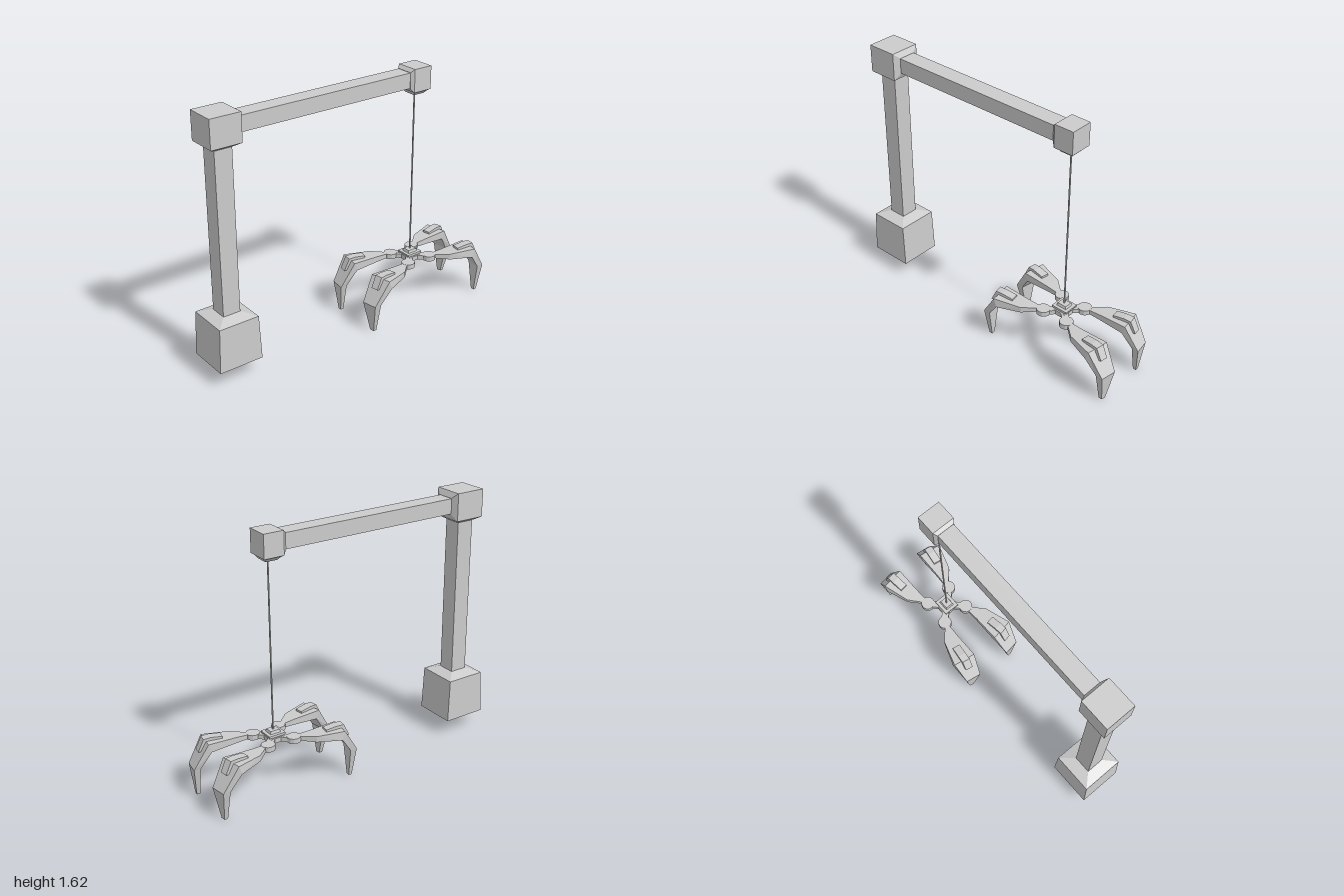
import * as THREE from 'three';

const grey = new THREE.MeshStandardMaterial({ color: 0xcccccc, flatShading: true });

function addMesh(parent, name, geometry, x = 0, y = 0, z = 0) {
  const mesh = new THREE.Mesh(geometry, grey);
  mesh.name = name;
  mesh.position.set(x, y, z);
  parent.add(mesh);
  return mesh;
}

// Closed faceted solid through four-cornered rings; flip reverses the winding
function loft(rings, flip = false) {
  const pos = [];
  const quad = (a, b, c, d) => {
    for (const p of flip ? [a, c, b, a, d, c] : [a, b, c, a, c, d]) pos.push(...p);
  };
  for (let r = 0; r < rings.length - 1; r++) {
    const a = rings[r], b = rings[r + 1];
    for (let i = 0; i < 4; i++) {
      const j = (i + 1) % 4;
      quad(a[i], a[j], b[j], b[i]);
    }
  }
  const s = rings[0], e = rings[rings.length - 1];
  quad(s[3], s[2], s[1], s[0]);
  quad(e[0], e[1], e[2], e[3]);
  const g = new THREE.BufferGeometry();
  g.setAttribute('position', new THREE.Float32BufferAttribute(pos, 3));
  g.computeVertexNormals();
  return g;
}

// Sections [y, halfX, halfZ] stacked upward
const stack = (sections) => loft(sections.map(([y, w, d]) =>
  [[w, y, d], [w, y, -d], [-w, y, -d], [-w, y, d]]));

// Sections [x, yLow, yHigh, halfZ] running along +x
const run = (sections) => loft(sections.map(([x, lo, hi, d]) =>
  [[x, lo, d], [x, lo, -d], [x, hi, -d], [x, hi, d]]));

// Sections [topX, topY, bottomX, bottomY, zInner, zOuter], mirrored by sx and sz
function limb(sections, sx, sz) {
  const rings = sections.map(([tx, ty, bx, by, zi, zo]) => {
    const skew = 0.08 * (zo - zi); // ends turn slightly outward
    return [[bx - skew, by, zo], [bx + skew, by, zi], [tx + skew, ty, zi], [tx - skew, ty, zo]]
      .map(([x, y, z]) => [x * sx, y, z * sz]);
  });
  return loft(rings, sx * sz < 0);
}

function buildClaw() {
  const claw = new THREE.Group();
  claw.name = 'claw';

  // Central hub and stepped cable mount
  addMesh(claw, 'hubCore', new THREE.BoxGeometry(0.1, 0.03, 0.11), 0, 0.32, 0);
  addMesh(claw, 'hubCollar', stack([[0.335, 0.04, 0.045], [0.345, 0.055, 0.05], [0.355, 0.055, 0.05]]));
  addMesh(claw, 'cableMount', stack([[0.355, 0.035, 0.03], [0.372, 0.03, 0.025]]));

  const leg = [
    [0.115, 0.334, 0.115, 0.307, 0.08, 0.108],
    [0.2, 0.338, 0.2, 0.3, 0.085, 0.178],
    [0.372, 0.345, 0.353, 0.29, 0.087, 0.23],
    [0.465, 0.19, 0.42, 0.19, 0.113, 0.213],
    [0.444, 0, 0.422, 0, 0.153, 0.18],
  ];
  const pad = [
    [0.27, 0.354, 0.27, 0.32, 0.118, 0.168],
    [0.342, 0.364, 0.33, 0.32, 0.127, 0.178],
    [0.388, 0.362, 0.36, 0.32, 0.132, 0.182],
    [0.424, 0.287, 0.39, 0.28, 0.137, 0.184],
  ];
  for (const sx of [-1, 1]) {
    for (const sz of [-1, 1]) {
      // Diagonal strut, pivot disc, bent leg and knee pad
      const strut = addMesh(claw, 'strut', new THREE.BoxGeometry(0.13, 0.028, 0.045), sx * 0.045, 0.32, sz * 0.048);
      strut.rotation.y = -sx * sz * 0.82;
      addMesh(claw, 'pivot', new THREE.CylinderGeometry(0.043, 0.043, 0.032, 12), sx * 0.088, 0.32, sz * 0.088);
      addMesh(claw, 'leg', limb(leg, sx, sz));
      addMesh(claw, 'kneePad', limb(pad, sx, sz));
    }
  }
  return claw;
}

export function createModel() {
  const model = new THREE.Group();
  model.name = 'clawCrane';
  const postX = -0.858, cableX = 0.524;

  // Pedestal and post
  addMesh(model, 'base', stack([
    [0.105, 0.142, 0.137], [0.385, 0.13, 0.133], [0.41, 0.058, 0.058]]), postX);
  addMesh(model, 'post', new THREE.BoxGeometry(0.112, 1.04, 0.112), postX, 0.92, 0);

  // Corner block with tapered sockets for post and arm
  addMesh(model, 'cornerBlock', stack([
    [1.42, 0.06, 0.06], [1.442, 0.098, 0.096], [1.617, 0.098, 0.096]]), postX);
  addMesh(model, 'armSocket', run([
    [-0.76, 1.442, 1.617, 0.096], [-0.742, 1.48, 1.584, 0.056]]));

  // Horizontal arm and end block
  addMesh(model, 'arm', run([[-0.75, 1.484, 1.58, 0.055], [0.45, 1.484, 1.58, 0.055]]));
  addMesh(model, 'endBlock', run([
    [0.44, 1.482, 1.582, 0.057], [0.46, 1.457, 1.602, 0.073], [0.588, 1.457, 1.602, 0.073]]));
  addMesh(model, 'cableOutlet', stack([
    [1.43, 0.038, 0.042], [1.445, 0.048, 0.055], [1.457, 0.06, 0.07]]), cableX);

  // Cable
  addMesh(model, 'cable', new THREE.CylinderGeometry(0.005, 0.005, 1.07, 8), cableX, 0.9, 0);

  const claw = buildClaw();
  claw.position.x = cableX;
  model.add(claw);
  return model;
}
